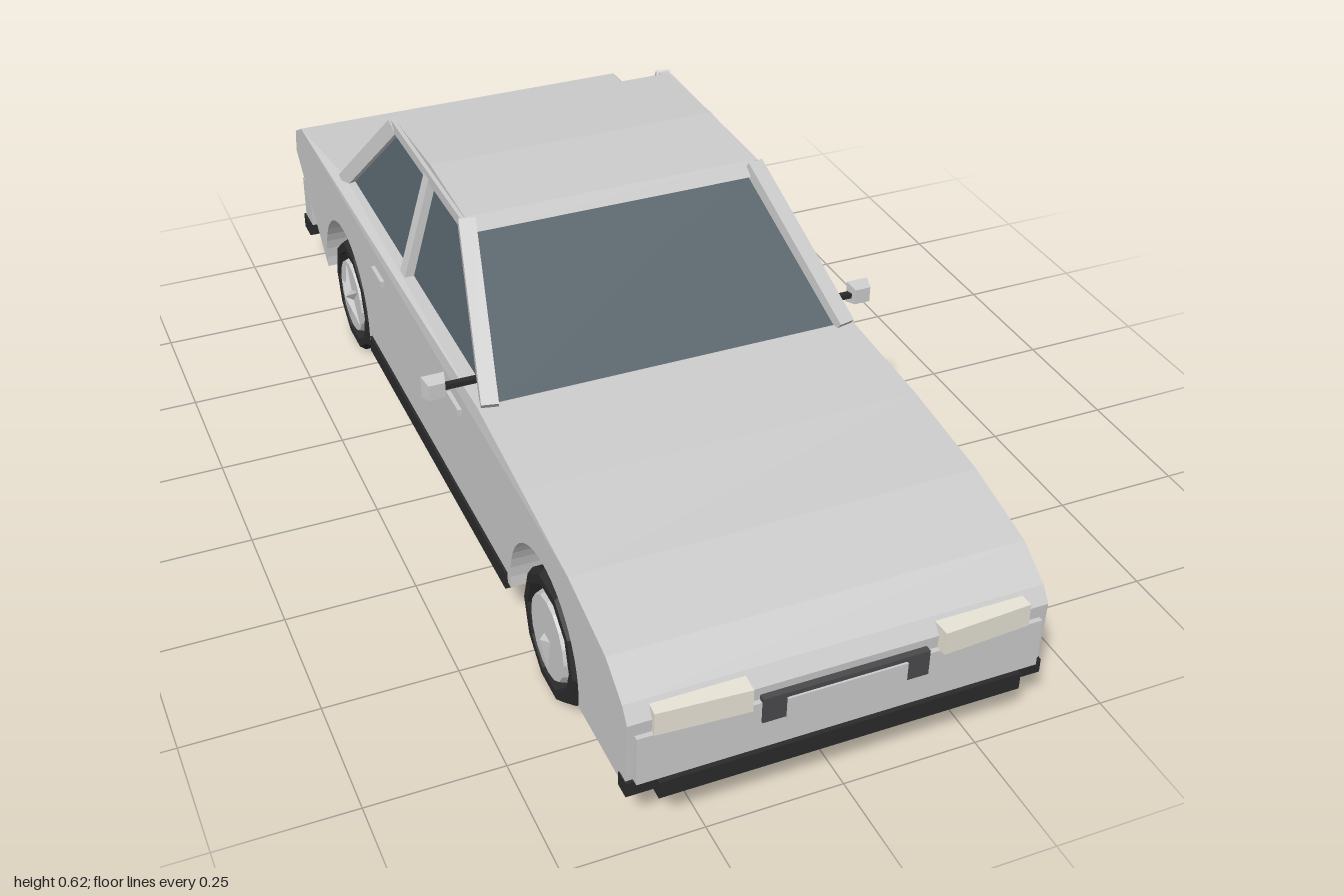
import * as THREE from 'three';
import { ConvexGeometry } from 'three/addons/geometries/ConvexGeometry.js';

const mat = (color) => new THREE.MeshStandardMaterial({ color, flatShading: true });
const V = (x, y, z) => new THREE.Vector3(x, y, z);

export function createModel() {
  const car = new THREE.Group();
  const grey = mat(0xcccccc), glass = mat(0x56626a), black = mat(0x2b2b2b);
  const dark = mat(0x4a4a4c), cream = mat(0xe8e4d6), red = mat(0xb03030);

  const add = (name, geo, material, parent = car) => {
    const mesh = new THREE.Mesh(geo, material);
    mesh.name = name;
    parent.add(mesh);
    return mesh;
  };
  // box given by its limits on each axis
  const box = (name, material, [x0, x1], [y0, y1], [z0, z1], parent = car) => {
    const m = add(name, new THREE.BoxGeometry(Math.abs(x1 - x0), y1 - y0, z1 - z0), material, parent);
    m.position.set((x0 + x1) / 2, (y0 + y1) / 2, (z0 + z1) / 2);
    return m;
  };
  // square bar between two points
  const bar = (name, material, a, b, w, h, parent = car) => {
    const m = add(name, new THREE.BoxGeometry(w, h, a.distanceTo(b)), material, parent);
    m.position.copy(a).lerp(b, 0.5);
    m.lookAt(b);
    return m;
  };
  // side profile (z, y) extruded across the car
  const across = (shape, width, curveSegments = 8) => {
    const g = new THREE.ExtrudeGeometry(shape, { depth: width, bevelEnabled: false, curveSegments });
    return g.translate(0, 0, -width / 2).rotateY(-Math.PI / 2);
  };

  // body with wheel arches cut right through
  const R = 0.165, axleY = 0.13, sill = 0.112, axles = [0.605, -0.6];
  const dip = Math.asin((axleY - sill) / R);
  const body = new THREE.Shape();
  body.moveTo(-0.97, sill);
  for (const z of [...axles].reverse()) body.absarc(z, axleY, R, Math.PI + dip, -dip, true);
  [[0.968, sill], [0.975, 0.25], [0.955, 0.277], [0.888, 0.32], [0.727, 0.357], [0.513, 0.38],
    [0.28, 0.396], [-0.63, 0.402], [-0.915, 0.386], [-0.972, 0.354], [-0.982, 0.3]]
    .forEach(([z, y]) => body.lineTo(z, y));
  body.closePath();
  const bodyGeo = across(body, 0.756, 12);
  const p = bodyGeo.attributes.position;
  for (let i = 0; i < p.count; i++) {
    // shoulders draw in beside the cabin
    if (p.getY(i) > 0.39) p.setX(i, p.getX(i) * (p.getZ(i) < 0 ? 0.94 : 0.99));
  }
  bodyGeo.computeVertexNormals();
  add('body', bodyGeo, grey);

  // cabin glass
  const corners = [];
  for (const s of [1, -1]) {
    corners.push(V(s * 0.345, 0.39, 0.285), V(s * 0.345, 0.39, -0.635),
      V(s * 0.285, 0.605, -0.005), V(s * 0.285, 0.605, -0.42));
  }
  add('cabinGlass', new ConvexGeometry(corners), glass);

  // roof
  const roof = new THREE.Shape([[0.02, 0.595], [0, 0.62], [-0.2, 0.629], [-0.42, 0.618], [-0.445, 0.593]]
    .map(([z, y]) => new THREE.Vector2(z, y)));
  add('roof', across(roof, 0.588), grey);

  // front and rear bumpers
  box('frontBumper', grey, [-0.365, 0.365], [0.128, 0.225], [0.92, 0.983]);
  box('rearBumper', grey, [-0.368, 0.368], [0.128, 0.225], [-0.987, -0.93]);
  box('frontLip', black, [-0.33, 0.33], [0.094, 0.128], [0.945, 0.992]);
  box('frontLipEnds', black, [-0.38, 0.38], [0.1, 0.128], [0.945, 0.975]);
  box('rearLip', black, [-0.372, 0.372], [0.094, 0.128], [-0.992, -0.945]);
  box('grille', dark, [-0.15, 0.15], [0.185, 0.235], [0.95, 0.987]);
  box('frontPlate', grey, [-0.108, 0.108], [0.178, 0.226], [0.96, 0.991]);
  box('rearPlate', grey, [-0.1, 0.1], [0.165, 0.215], [-0.992, -0.96]);
  box('rearTrim', dark, [-0.2, 0.2], [0.276, 0.284], [-0.987, -0.96]);

  // wheel turned about the x axis, outside towards +x
  const tyreProfile = [[0.1, -0.045], [0.1, 0.045], [0.117, 0.045], [0.126, 0.033],
    [0.126, -0.033], [0.117, -0.045], [0.1, -0.045]].map(([r, h]) => new THREE.Vector2(r, h));
  const tyreGeo = new THREE.LatheGeometry(tyreProfile.reverse(), 10).rotateZ(-Math.PI / 2);
  const rimGeo = new THREE.CylinderGeometry(0.078, 0.085, 0.02, 16).rotateZ(-Math.PI / 2);
  const tyreMat = mat(0x2b2b2b);
  tyreMat.side = THREE.DoubleSide;

  for (const s of [1, -1]) {
    const side = new THREE.Group();
    side.name = s > 0 ? 'leftSide' : 'rightSide';
    car.add(side);

    // pillars
    bar('frontPillar', grey, V(s * 0.353, 0.395, 0.285), V(s * 0.29, 0.61, 0), 0.032, 0.03, side);
    bar('middlePillar', grey, V(s * 0.35, 0.395, -0.205), V(s * 0.288, 0.61, -0.205), 0.03, 0.024, side);
    bar('rearPillar', grey, V(s * 0.35, 0.395, -0.63), V(s * 0.29, 0.608, -0.425), 0.03, 0.032, side);
    bar('roofRail', grey, V(s * 0.291, 0.607, 0), V(s * 0.291, 0.607, -0.43), 0.022, 0.022, side);

    // lamps
    box('headlight', cream, [s * 0.17, s * 0.335], [0.225, 0.27], [0.93, 0.99], side).rotation.y = s * 0.06;
    box('tailLight', red, [s * 0.21, s * 0.365], [0.288, 0.334], [-0.993, -0.955], side);

    // sill, handles and mirror
    box('sideSkirt', black, [s * 0.34, s * 0.383], [0.098, 0.134], [-0.415, 0.425], side);
    for (const z of [0.165, -0.318]) {
      box('doorHandle', grey, [s * 0.365, s * 0.386], [0.327, 0.341], [z - 0.033, z + 0.033], side);
    }
    box('mirrorStalk', black, [s * 0.34, s * 0.412], [0.398, 0.408], [0.196, 0.208], side);
    const mirror = add('mirror', new THREE.CylinderGeometry(0.022, 0.031, 0.026, 4, 1)
      .rotateY(Math.PI / 4).rotateX(Math.PI / 2), grey, side);
    mirror.position.set(s * 0.428, 0.405, 0.205);

    // wheels
    axles.forEach((z, rear) => {
      const wheel = new THREE.Group();
      wheel.name = rear ? 'rearWheel' : 'frontWheel';
      wheel.position.set(s * 0.325, 0.126, z);
      wheel.rotation.y = s > 0 ? 0 : Math.PI;
      side.add(wheel);
      add('tyre', tyreGeo, tyreMat, wheel);
      add('rim', rimGeo, grey, wheel).position.x = 0.036;
      // five raised spokes at the rear, a single one at the front
      for (let i = 0; i < (rear ? 5 : 1); i++) {
        const a = (i / 5) * Math.PI * 2 + (rear ? 0.3 : Math.PI);
        const spoke = add('spoke', new THREE.ConeGeometry(0.014, 0.074, 4).translate(0, 0.037, 0), grey, wheel);
        spoke.position.x = 0.046;
        spoke.rotation.x = a;
      }
    });
  }
  return car;
}
